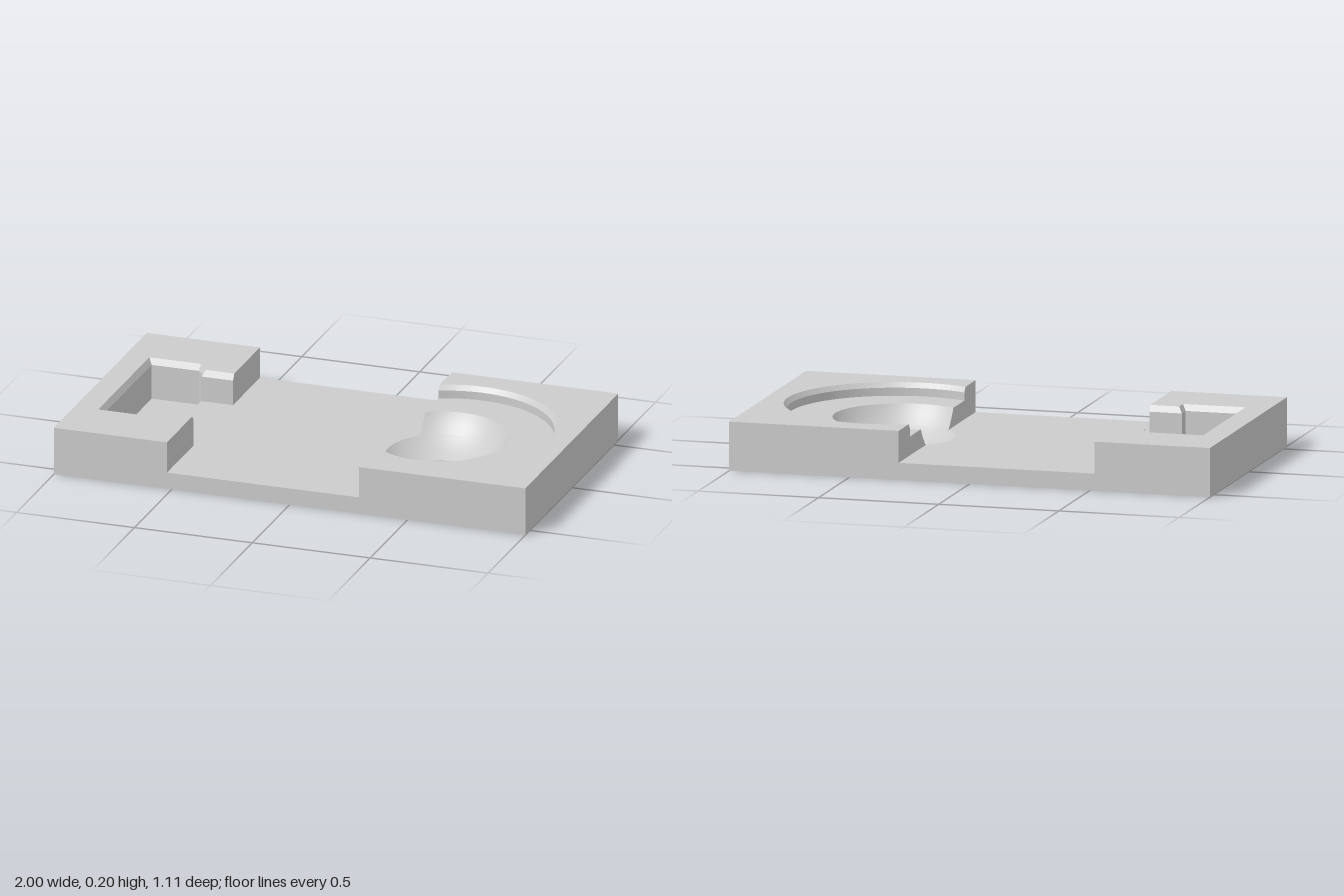
import * as THREE from 'three';
import { toCreasedNormals } from 'three/addons/utils/BufferGeometryUtils.js';

const material = new THREE.MeshStandardMaterial({ color: 0xcccccc, side: THREE.DoubleSide });
const HALF_Z = 0.555, TOP = 0.2, FLOOR = 0.07, POCKET = 0.03, LEDGE = 0.147;
const LEFT = -0.52, RIGHT = 0.295; // ends of the open channel

// Closed wall lofted through rings [[loop of [x, z], y], ...] from bottom to top
function wall(rings) {
  const pos = [];
  for (let k = 0; k < rings.length - 1; k++) {
    const [lo, y0] = rings[k], [hi, y1] = rings[k + 1];
    lo.forEach((a, i) => {
      const j = (i + 1) % lo.length;
      const A = [a[0], y0, a[1]], B = [lo[j][0], y0, lo[j][1]];
      const C = [hi[j][0], y1, hi[j][1]], D = [hi[i][0], y1, hi[i][1]];
      pos.push(...A, ...B, ...C, ...A, ...C, ...D);
    });
  }
  const g = new THREE.BufferGeometry();
  g.setAttribute('position', new THREE.Float32BufferAttribute(pos, 3));
  return toCreasedNormals(g, 0.4);
}

// Horizontal face with optional holes, facing up or down
function face(loop, y, holes = [], up = true) {
  const s = up ? -1 : 1;
  const points = (l) => l.map(([x, z]) => new THREE.Vector2(x, s * z));
  const shape = new THREE.Shape(points(loop));
  shape.holes = holes.map((h) => new THREE.Path(points(h)));
  return new THREE.ShapeGeometry(shape).rotateX((s * Math.PI) / 2).translate(0, y, 0);
}

function arc(cx, r, from, to, n, closed = false) {
  return Array.from({ length: closed ? n : n + 1 }, (_, i) => {
    const t = from + ((to - from) * i) / n;
    return [cx + r * Math.cos(t), r * Math.sin(t)];
  });
}
const circle = (cx, r) => arc(cx, r, 0, Math.PI * 2, 64, true);

// Spherical bowl: radius at a given height
const BOWL_X = 0.442;
const bowlRadius = (y) => Math.sqrt(0.0972 - (0.291 - y) ** 2);

// Outline of the right block with a round bite taken out of its inner side
function biteLoop(cx, r) {
  const a = Math.acos((RIGHT - cx) / r);
  return [[RIGHT, HALF_Z], [1, HALF_Z], [1, -HALF_Z], [RIGHT, -HALF_Z], ...arc(cx, r, -a, a, 64)];
}

const steps = (a, b, n) => Array.from({ length: n + 1 }, (_, i) => a + ((b - a) * i) / n);

export function createModel() {
  const model = new THREE.Group();
  const part = (name, ...geometries) => {
    const group = new THREE.Group();
    group.name = name;
    geometries.forEach((g) => group.add(new THREE.Mesh(g, material)));
    model.add(group);
  };

  // Left block outlines: narrow at the walls, wider at the chamfered rim
  const ends = (inner) => [
    [-1, -HALF_Z], [-1, HALF_Z], [LEFT, HALF_Z], ...inner, [LEFT, -HALF_Z],
  ];
  const wallLoop = ends([
    [LEFT, 0.235], [-0.655, 0.235], [-0.655, 0.29], [-0.885, 0.29], [-0.885, -0.29],
    [-0.685, -0.29], [-0.655, -0.26], [-0.655, -0.235], [LEFT, -0.235],
  ]);
  const rimLoop = ends([
    [LEFT, 0.25], [-0.64, 0.25], [-0.64, 0.305], [-0.9, 0.305], [-0.9, -0.305],
    [-0.68, -0.305], [-0.64, -0.265], [-0.64, -0.25], [LEFT, -0.25],
  ]);
  const pocketLoop = wallLoop.slice(4, 11);
  part('slottedBlock',
    wall([[wallLoop, FLOOR], [wallLoop, TOP - 0.025], [rimLoop, TOP]]),
    face(rimLoop, TOP));

  // Sunken pocket floor
  part('pocket', wall([[pocketLoop, POCKET], [pocketLoop, FLOOR]]), face(pocketLoop, POCKET));

  // Base plate with the pocket and bowl openings
  const plate = [[-1, HALF_Z], [1, HALF_Z], [1, -HALF_Z], [-1, -HALF_Z]];
  part('basePlate',
    wall([[plate, 0], [plate, FLOOR]]),
    face(plate, FLOOR, [pocketLoop, circle(BOWL_X, bowlRadius(FLOOR))]),
    face(plate, 0, [circle(BOWL_X, bowlRadius(0))], false));

  // Lower half of the bowl, cut through the plate
  part('bowl', wall(steps(0, FLOOR, 5).map((y) => [circle(BOWL_X, bowlRadius(y)), y])));

  // Ledge around the upper half of the bowl
  part('bowlLedge',
    wall(steps(FLOOR, LEDGE, 5).map((y) => [biteLoop(BOWL_X, bowlRadius(y)), y])),
    face(biteLoop(BOWL_X, bowlRadius(LEDGE)), LEDGE));

  // Raised rim with a chamfered round recess
  const recess = biteLoop(0.47, 0.43), lip = biteLoop(0.47, 0.445);
  part('recessRim',
    wall([[recess, LEDGE], [recess, TOP - 0.02], [lip, TOP]]),
    face(lip, TOP));

  return model;
}
